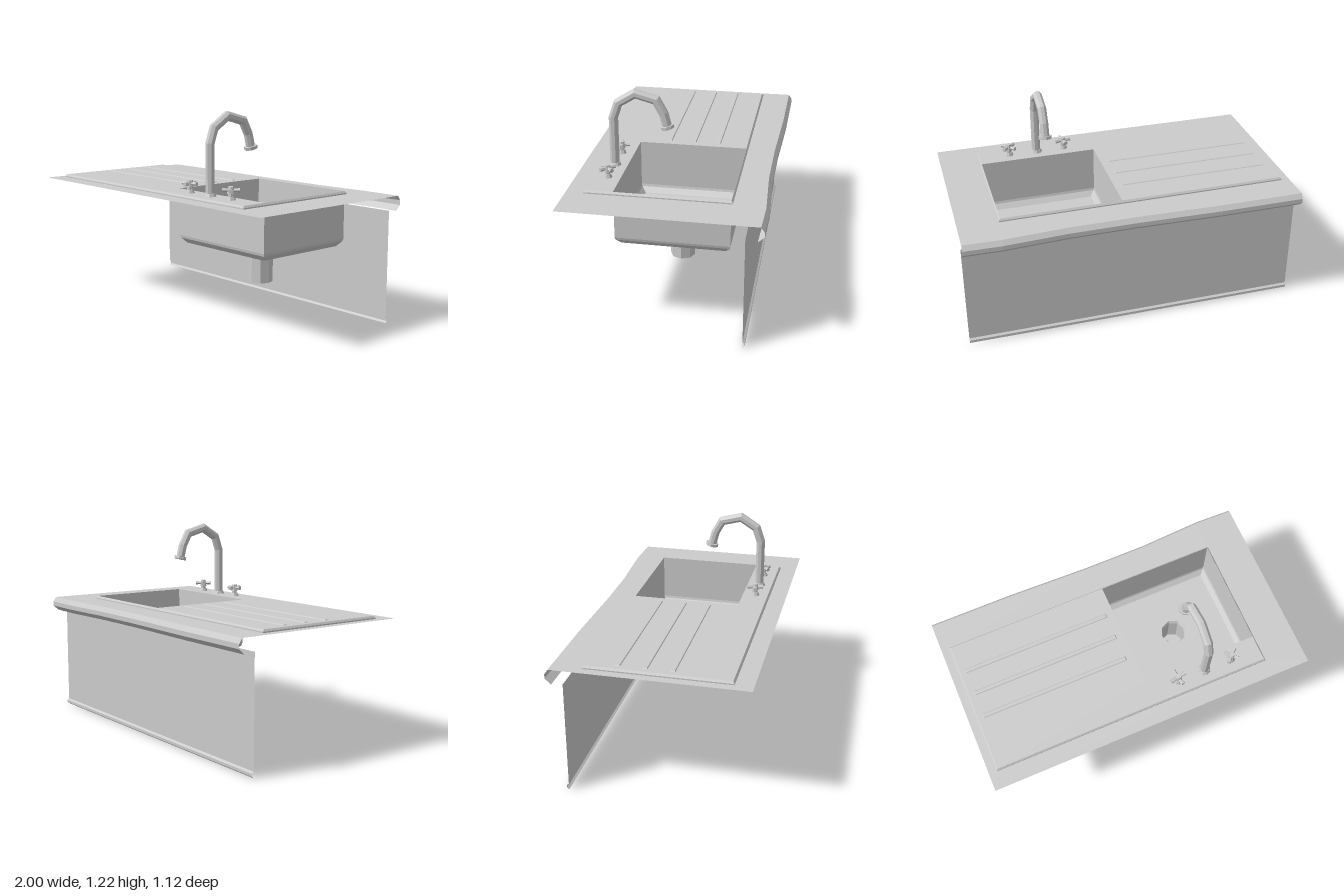
import * as THREE from 'three';

const material = new THREE.MeshStandardMaterial({ color: 0xcccccc, flatShading: true, side: THREE.DoubleSide });
const v = (x, y, z) => new THREE.Vector3(x, y, z);

// Skin through cross-sections with equal point counts
function loft(rings, closed = true) {
  const n = rings[0].length, index = [];
  for (let i = 0; i < rings.length - 1; i++) {
    for (let j = 0; j < (closed ? n : n - 1); j++) {
      const a = i * n + j, b = i * n + (j + 1) % n;
      index.push(a, b, b + n, a, b + n, a + n);
    }
  }
  const geometry = new THREE.BufferGeometry().setFromPoints(rings.flat());
  geometry.setIndex(index);
  geometry.computeVertexNormals();
  return geometry;
}

// Horizontal sheet from an outline and holes
function sheet(outline, holes, y) {
  const to2 = (pts) => pts.map((p) => new THREE.Vector2(p.x, -p.z));
  const shape = new THREE.Shape(to2(outline));
  holes.forEach((h) => shape.holes.push(new THREE.Path(to2(h))));
  return new THREE.ShapeGeometry(shape).rotateX(-Math.PI / 2).translate(0, y, 0);
}

// Counter-clockwise from above, so lofted downwards-to-upwards faces point out
const rect = (x0, x1, z0, z1, y, inset = 0) => [
  v(x0 + inset, y, z1 - inset), v(x1 - inset, y, z1 - inset),
  v(x1 - inset, y, z0 + inset), v(x0 + inset, y, z0 + inset),
];

const circle = (cx, y, cz, r, n = 8) => Array.from({ length: n }, (_, i) => {
  const a = (i / n) * Math.PI * 2;
  return v(cx + Math.sin(a) * r, y, cz + Math.cos(a) * r);
});

function add(parent, name, geometry) {
  const mesh = new THREE.Mesh(geometry, material);
  mesh.name = name;
  parent.add(mesh);
  return mesh;
}

function makeTapHandle(name, x, turn) {
  const tap = new THREE.Group();
  tap.name = name;
  add(tap, 'tapStem', new THREE.CylinderGeometry(0.016, 0.016, 0.08, 8).translate(0, 0.775, 0));
  add(tap, 'tapCollar', new THREE.CylinderGeometry(0.02, 0.028, 0.02, 8).translate(0, 0.767, 0));
  add(tap, 'tapHub', new THREE.CylinderGeometry(0.016, 0.022, 0.04, 8).translate(0, 0.811, 0));
  for (let i = 0; i < 4; i++) {
    const a = turn + (i * Math.PI) / 2;
    const arm = add(tap, 'tapArm', new THREE.CylinderGeometry(0.013, 0.009, 0.034, 6).rotateZ(-Math.PI / 2).translate(0.032, 0.811, 0));
    arm.rotation.y = a;
  }
  tap.position.set(x, 0, 0.37);
  return tap;
}

function makeSpout() {
  const spout = new THREE.Group();
  spout.name = 'spout';
  // Bent pipe, mitred at each joint
  const path = [[0.37, 0.75], [0.37, 1.05], [0.34, 1.137], [0.243, 1.198], [0.123, 1.166], [0.081, 1.09], [0.06, 1.01]]
    .map(([z, y]) => v(0.4, y, z));
  const last = path.length - 1;
  const dir = (i) => path[i + 1].clone().sub(path[i]).normalize();
  const rings = path.map((p, i) => {
    const a = dir(Math.max(i - 1, 0)), b = dir(Math.min(i, last - 1));
    const tangent = a.clone().add(b).normalize();
    const side = v(0, tangent.z, -tangent.y);
    const stretch = 1 / tangent.dot(a);
    return Array.from({ length: 8 }, (_, k) => {
      const t = ((k + 0.5) / 8) * Math.PI * 2;
      return p.clone().addScaledVector(side, Math.cos(t) * 0.027 * stretch).add(v(Math.sin(t) * 0.027, 0, 0));
    });
  });
  add(spout, 'spoutPipe', loft(rings));
  add(spout, 'spoutBase', new THREE.CylinderGeometry(0.03, 0.038, 0.018, 8).translate(0.4, 0.766, 0.37));
  const nozzle = add(spout, 'spoutNozzle', new THREE.CylinderGeometry(0.039, 0.039, 0.018, 8));
  nozzle.position.copy(path[last]);
  nozzle.quaternion.setFromUnitVectors(v(0, -1, 0), dir(last - 1));
  return spout;
}

export function createModel() {
  const model = new THREE.Group();
  model.name = 'kitchenSink';

  // Worktop with a gently wavy back edge: [x, inward shift]
  const wave = [[-1, 0.005], [-0.5, 0.006], [0, 0.02], [0.4, 0.02], [0.78, 0], [1, 0.006]];
  const backZ = -0.54, topY = 0.738;
  const sink = [-0.95, 0.765, -0.36, 0.457];
  const outline = [v(-1, 0, 0.56), v(1, 0, 0.56), ...wave.map(([x, s]) => v(x, 0, backZ + s)).reverse()];
  add(model, 'worktop', sheet(outline, [rect(...sink, 0)], topY));

  // Rolled edge below the back of the worktop
  const lip = [[-0.54, topY], [-0.56, 0.71], [-0.56, 0.683], [-0.525, 0.652]];
  add(model, 'worktopLip', loft(wave.map(([x, s]) => lip.map(([z, y]) => v(x, y, z + s))), false));

  // Back panel and its bottom bead
  const panel = [[-0.455, 0.66], [-0.455, 0.03]];
  const bead = [[-0.455, 0.035], [-0.467, 0.026], [-0.467, 0.01], [-0.454, 0]];
  for (const [name, profile] of [['backPanel', panel], ['panelBead', bead]]) {
    add(model, name, loft([-1, 1].map((x) => profile.map(([z, y]) => v(x, y, z))), false));
  }

  // Sink plate with bevelled rim
  const plateY = 0.756;
  const bowl = [0.045, 0.756, -0.351, 0.295];
  add(model, 'sinkRim', loft([rect(...sink, topY), rect(...sink, 0.745), rect(...sink, plateY, 0.008)]));
  add(model, 'sinkPlate', sheet(rect(...sink, 0, 0.008), [rect(...bowl, 0)], plateY));

  // Draining ridges
  for (const z of [-0.177, -0.027, 0.123]) {
    add(model, 'drainerRidge', loft([
      rect(-0.91, 0, z - 0.014, z + 0.014, plateY),
      rect(-0.91, 0, z - 0.014, z + 0.014, plateY + 0.005, 0.004),
    ]));
    add(model, 'drainerRidgeTop', sheet(rect(-0.91, 0, z - 0.014, z + 0.014, 0, 0.004), [], plateY + 0.005));
  }

  // Bowl, floor with drain opening, and waste pipe
  const floorY = 0.43, drain = [0.4, -0.027];
  add(model, 'bowlWalls', loft([rect(...bowl, floorY, 0.03), rect(...bowl, 0.46, 0.004), rect(...bowl, 0.475), rect(...bowl, plateY)]));
  add(model, 'bowlFloor', sheet(rect(...bowl, 0, 0.03), [circle(drain[0], 0, drain[1], 0.08)], floorY));
  const pipe = [[0.001, 0.21], [0.072, 0.21], [0.072, 0.41], [0.08, floorY]];
  add(model, 'wastePipe', loft(pipe.map(([r, y]) => circle(drain[0], y, drain[1], r))));

  // Taps
  model.add(makeTapHandle('rightTap', 0.227, 0.2), makeTapHandle('leftTap', 0.573, Math.PI / 4), makeSpout());
  return model;
}
